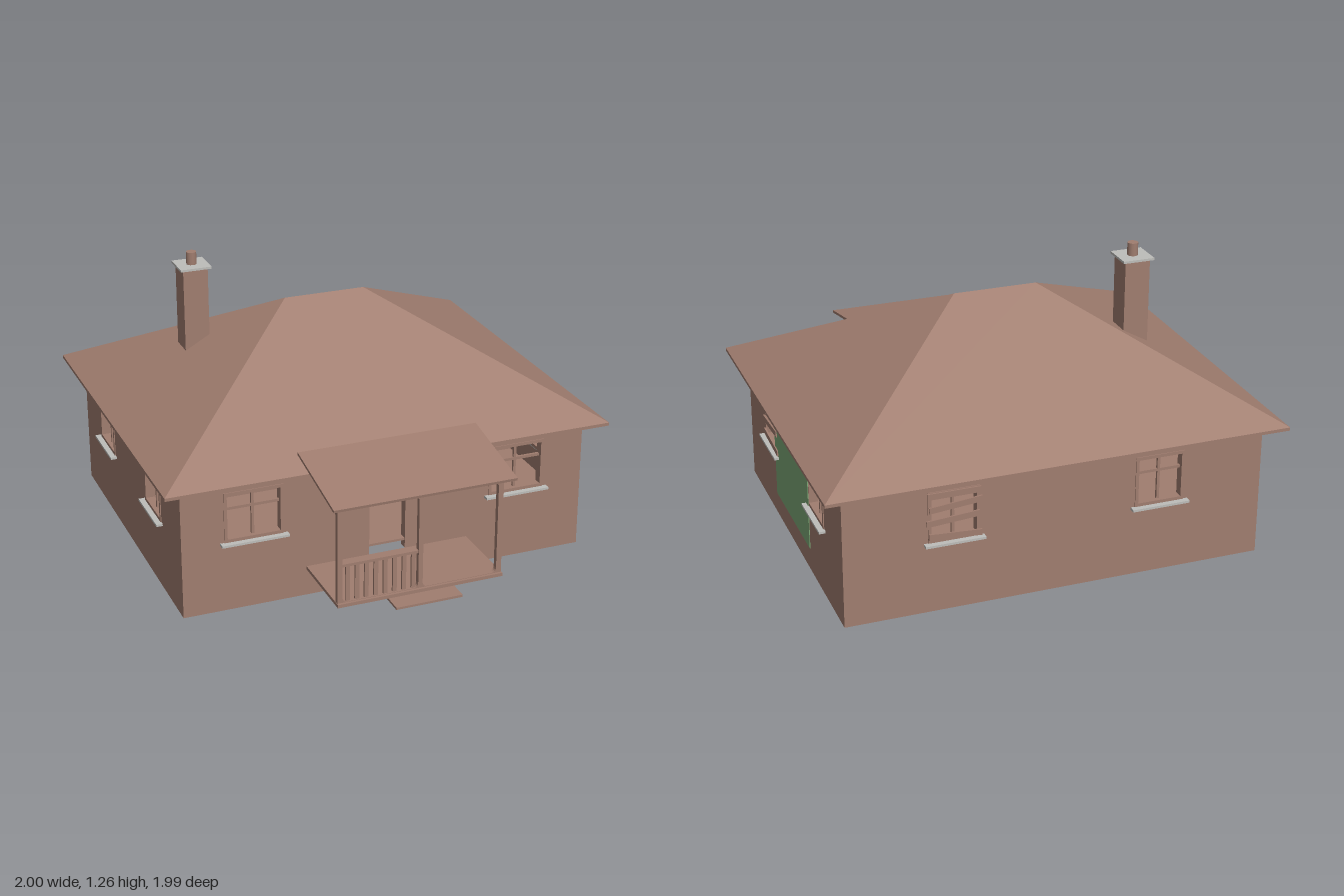
import * as THREE from 'three';

const brown = new THREE.MeshStandardMaterial({ color: 0xa07d6f, side: THREE.DoubleSide });
brown.name = 'brick brown';
const gray = new THREE.MeshStandardMaterial({ color: 0xbdbdba, side: THREE.DoubleSide });
gray.name = 'pale gray';
const green = new THREE.MeshStandardMaterial({ color: 0x7da876, side: THREE.DoubleSide });
green.name = 'moss green';

const Z_FRONT = 0.555, Z_BACK = -0.918, X_SIDE = 0.915;
const Z_MID = (Z_FRONT + Z_BACK) / 2, DEPTH = Z_FRONT - Z_BACK;
const SILL_Y = 0.315, HEAD_Y = 0.54, WALL_TOP = 0.595, FLOOR_Y = 0.17;

function add(parent, name, geometry, material = brown) {
  const mesh = new THREE.Mesh(geometry, material);
  mesh.name = name;
  parent.add(mesh);
  return mesh;
}

// Box given by its limits on each axis
function box(parent, name, [x0, x1], [y0, y1], [z0, z1], material = brown) {
  const g = new THREE.BoxGeometry(x1 - x0, y1 - y0, z1 - z0);
  g.translate((x0 + x1) / 2, (y0 + y1) / 2, (z0 + z1) / 2);
  return add(parent, name, g, material);
}

// Rectangular outline, with optional rounded corners
function rect(x0, x1, y0, y1, r = 0, PathType = THREE.Path) {
  const p = new PathType();
  if (!r) {
    p.setFromPoints([[x0, y0], [x1, y0], [x1, y1], [x0, y1], [x0, y0]].map(([x, y]) => new THREE.Vector2(x, y)));
    return p;
  }
  p.moveTo(x0 + r, y0).lineTo(x1 - r, y0).quadraticCurveTo(x1, y0, x1, y0 + r);
  p.lineTo(x1, y1 - r).quadraticCurveTo(x1, y1, x1 - r, y1);
  p.lineTo(x0 + r, y1).quadraticCurveTo(x0, y1, x0, y1 - r);
  p.lineTo(x0, y0 + r).quadraticCurveTo(x0, y0, x0 + r, y0);
  return p;
}

function extrude(shape, depth, z) {
  const g = new THREE.ExtrudeGeometry(shape, { depth, bevelEnabled: false, curveSegments: 4 });
  return g.translate(0, 0, z);
}

// Open window: frame, glazing bars and projecting sill; local +z points outdoors
function addWindow(wall, u, w) {
  const g = new THREE.Group();
  g.name = 'window';
  g.position.x = u;
  const h = w / 2, t = 0.014;
  const frame = rect(-h, h, SILL_Y, HEAD_Y, 0, THREE.Shape);
  frame.holes.push(rect(-h + t, h - t, SILL_Y + t, HEAD_Y - t));
  add(g, 'windowFrame', extrude(frame, 0.04, -0.036));
  box(g, 'mullion', [-0.006, 0.006], [SILL_Y + t, HEAD_Y - t], [-0.026, -0.014]);
  box(g, 'transom', [-h + t, h - t], [0.455, 0.467], [-0.026, -0.014]);
  box(g, 'sill', [-h - 0.018, h + 0.018], [0.305, 0.315], [-0.03, 0.028], gray);
  wall.add(g);
}

// Crooked planks nailed over a window
function addBoards(wall, u) {
  [[0.525, 0.0, 0], [0.473, 0.09, 0.006], [0.412, 0.07, -0.006], [0.338, -0.06, 0.004]].forEach(([y, tilt, dx]) => {
    const b = add(wall, 'board', new THREE.BoxGeometry(0.225, 0.026, 0.008));
    b.position.set(u + dx, y, 0.009);
    b.rotation.z = tilt;
  });
}

function addWall(root, name, width, x, z, turn, windows, windowWidth, hasDoor) {
  const wall = new THREE.Group();
  wall.name = name;
  wall.position.set(x, 0, z);
  wall.rotation.y = turn;
  const s = rect(-width / 2, width / 2, 0, WALL_TOP, 0, THREE.Shape);
  windows.forEach((u) => s.holes.push(rect(u - windowWidth / 2, u + windowWidth / 2, SILL_Y, HEAD_Y)));
  if (hasDoor) s.holes.push(rect(-0.085, 0.08, 0.135, 0.51));
  add(wall, name + 'Panel', new THREE.ShapeGeometry(s));
  windows.forEach((u) => addWindow(wall, u, windowWidth));
  root.add(wall);
  return wall;
}

function addRoof(root) {
  const zb = -0.997, zf = 0.637, y0 = 0.604, y1 = 1.06, r = 0.185, zr = -0.18;
  box(root, 'eaves', [-1, 1], [0.59, y0], [zb, zf]);
  // Hipped roof: four eave corners and two ridge ends
  const g = new THREE.BufferGeometry();
  g.setAttribute('position', new THREE.Float32BufferAttribute([
    -1, y0, zf, 1, y0, zf, 1, y0, zb, -1, y0, zb, -r, y1, zr, r, y1, zr], 3));
  g.setIndex([0, 1, 5, 0, 5, 4, 1, 2, 5, 2, 3, 4, 2, 4, 5, 3, 0, 4]);
  const flat = g.toNonIndexed();
  flat.computeVertexNormals();
  add(root, 'hippedRoof', flat);
}

function addChimney(root) {
  const x = -0.55, z = -0.365;
  box(root, 'chimneyStack', [x - 0.056, x + 0.056], [0.65, 1.195], [z - 0.056, z + 0.056]);
  box(root, 'chimneyCap', [x - 0.07, x + 0.07], [1.195, 1.205], [z - 0.07, z + 0.07], gray);
  const pot = add(root, 'chimneyPot', new THREE.CylinderGeometry(0.023, 0.023, 0.056, 12));
  pot.position.set(x, 1.233, z);
}

function addPorch(root) {
  const porch = new THREE.Group();
  porch.name = 'porch';
  box(porch, 'porchFloor', [-0.37, 0.37], [0.12, 0.135], [Z_FRONT, 0.912]);
  box(porch, 'step', [-0.148, 0.148], [0.11, 0.12], [0.9, 0.995]);
  // Posts and beam as one frame with two rounded openings
  const f = rect(-0.368, 0.368, 0.122, 0.57, 0, THREE.Shape);
  f.holes.push(rect(-0.345, -0.01, 0.137, 0.552, 0.02), rect(0.01, 0.345, 0.137, 0.552, 0.02));
  add(porch, 'postFrame', extrude(f, 0.022, 0.878));
  // Railing on one side of the entrance
  box(porch, 'handrail', [-0.345, -0.01], [0.296, 0.308], [0.88, 0.898]);
  for (let i = 0; i < 8; i++) {
    const x = -0.32 + i * 0.0415;
    box(porch, 'baluster', [x - 0.009, x + 0.009], [0.135, 0.298], [0.884, 0.894]);
  }
  // Sloping canopy
  const rise = 0.08, run = 0.402;
  const canopy = add(porch, 'canopy', new THREE.BoxGeometry(0.806, 0.012, Math.hypot(rise, run)));
  canopy.position.set(0, 0.62, 0.749);
  canopy.rotation.x = Math.atan2(rise, run);
  root.add(porch);
}

export function createModel() {
  const root = new THREE.Group();
  root.name = 'bungalow';

  const front = addWall(root, 'frontWall', X_SIDE * 2, 0, Z_FRONT, 0, [-0.6, 0.6], 0.26, true);
  const back = addWall(root, 'backWall', X_SIDE * 2, 0, Z_BACK, Math.PI, [-0.45, 0.45], 0.22);
  const side = addWall(root, 'eastWall', DEPTH, X_SIDE, Z_MID, Math.PI / 2, [-0.345, 0.365], 0.23);
  addWall(root, 'westWall', DEPTH, -X_SIDE, Z_MID, -Math.PI / 2, [-0.365, 0.345], 0.23);
  addBoards(back, -0.45);
  addBoards(side, -0.335);

  // Door lining
  box(front, 'doorJamb', [-0.089, -0.085], [0.135, 0.51], [-0.04, 0]);
  box(front, 'doorJamb', [0.08, 0.084], [0.135, 0.51], [-0.04, 0]);
  box(front, 'doorHead', [-0.089, 0.084], [0.51, 0.514], [-0.04, 0]);

  // Stepped green patch on the side wall
  const patch = new THREE.Shape([[0.445, 0.115], [0.445, 0.59], [0.135, 0.59], [0.135, 0.495], [-0.09, 0.495], [-0.09, 0.115]]
    .map(([u, y]) => new THREE.Vector2(u + Z_MID, y)));
  add(side, 'greenPatch', extrude(patch, 0.003, 0.005));

  side.getObjectByName('greenPatch').material = green;

  // Raised floor and inner partitions
  box(root, 'floor', [-0.91, 0.91], [FLOOR_Y, FLOOR_Y + 0.01], [Z_BACK + 0.005, Z_FRONT - 0.005]);
  box(root, 'crossPartition', [-0.91, 0.91], [FLOOR_Y, 0.59], [-0.11, -0.1]);
  box(root, 'rearPartition', [-0.005, 0.005], [FLOOR_Y, 0.59], [Z_BACK + 0.005, -0.11]);
  const plaster = new THREE.Shape([[-0.15, 0.215], [-0.085, 0.23], [-0.02, 0.252], [0.15, 0.255], [0.15, 0.57], [-0.15, 0.57]]
    .map(([x, y]) => new THREE.Vector2(x, y)));
  add(root, 'plasterPanel', extrude(plaster, 0.004, -0.1), gray);

  addRoof(root);
  addChimney(root);
  addPorch(root);
  return root;
}
